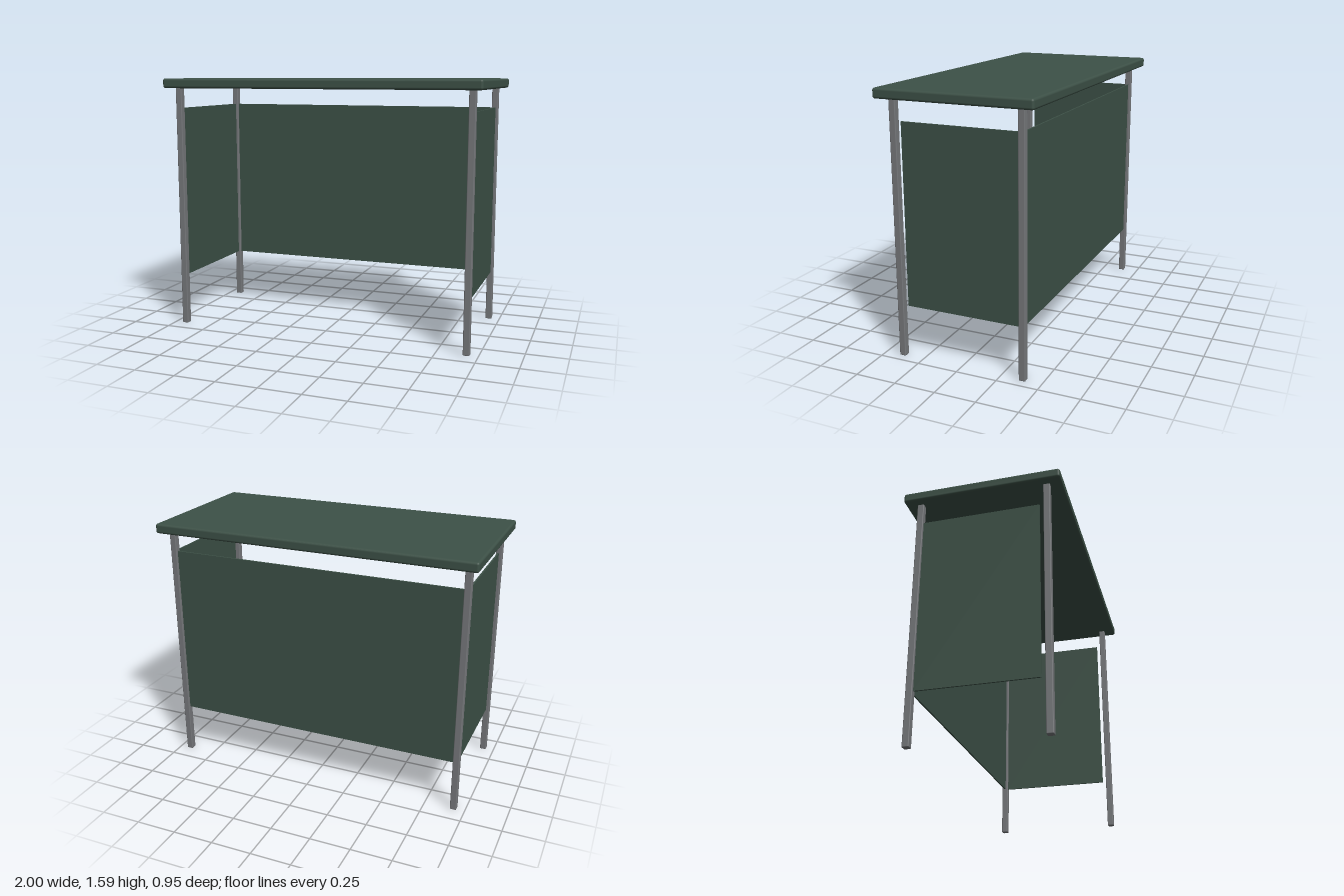
import * as THREE from 'three';
import { RoundedBoxGeometry } from 'three/addons/geometries/RoundedBoxGeometry.js';

const green = new THREE.MeshStandardMaterial({ name: 'dark green board', color: 0x3d5147 });
const steel = new THREE.MeshStandardMaterial({ name: 'grey steel', color: 0x77797c });

const LEG_X = 0.93, LEG_Z = 0.385, LEG_W = 0.04;
const TOP_Y = 1.53, TOP_T = 0.06;
const PANEL_LOW = 0.32, PANEL_HIGH = 1.405, PANEL_T = 0.01;

function addPart(group, name, geometry, material, x, y, z) {
  const mesh = new THREE.Mesh(geometry, material);
  mesh.name = name;
  mesh.position.set(x, y, z);
  group.add(mesh);
}

export function createModel() {
  const table = new THREE.Group();
  table.name = 'counterTable';

  // Table top with softened edges
  addPart(table, 'tableTop', new RoundedBoxGeometry(2, TOP_T, 0.95, 3, 0.014), green,
    0, TOP_Y + TOP_T / 2, 0);

  // Four square steel legs
  const legGeometry = new RoundedBoxGeometry(LEG_W, TOP_Y + 0.01, LEG_W, 2, 0.005);
  for (const sx of [-1, 1]) {
    for (const sz of [-1, 1]) {
      const name = (sz > 0 ? 'front' : 'back') + (sx > 0 ? 'Left' : 'Right') + 'Leg';
      addPart(table, name, legGeometry, steel, sx * LEG_X, (TOP_Y + 0.01) / 2, sz * LEG_Z);
    }
  }

  // Thin panels hung between the legs; the front stays open
  const panelH = PANEL_HIGH - PANEL_LOW;
  const panelY = (PANEL_HIGH + PANEL_LOW) / 2;
  addPart(table, 'backPanel', new THREE.BoxGeometry(2 * LEG_X - LEG_W + 0.002, panelH, PANEL_T), green,
    0, panelY, -LEG_Z);

  const sideFront = 0.34, sideBack = -0.366;
  const sideGeometry = new THREE.BoxGeometry(PANEL_T, panelH, sideFront - sideBack);
  for (const sx of [-1, 1]) {
    addPart(table, sx > 0 ? 'leftPanel' : 'rightPanel', sideGeometry, green,
      sx * LEG_X, panelY, (sideFront + sideBack) / 2);
  }

  return table;
}
